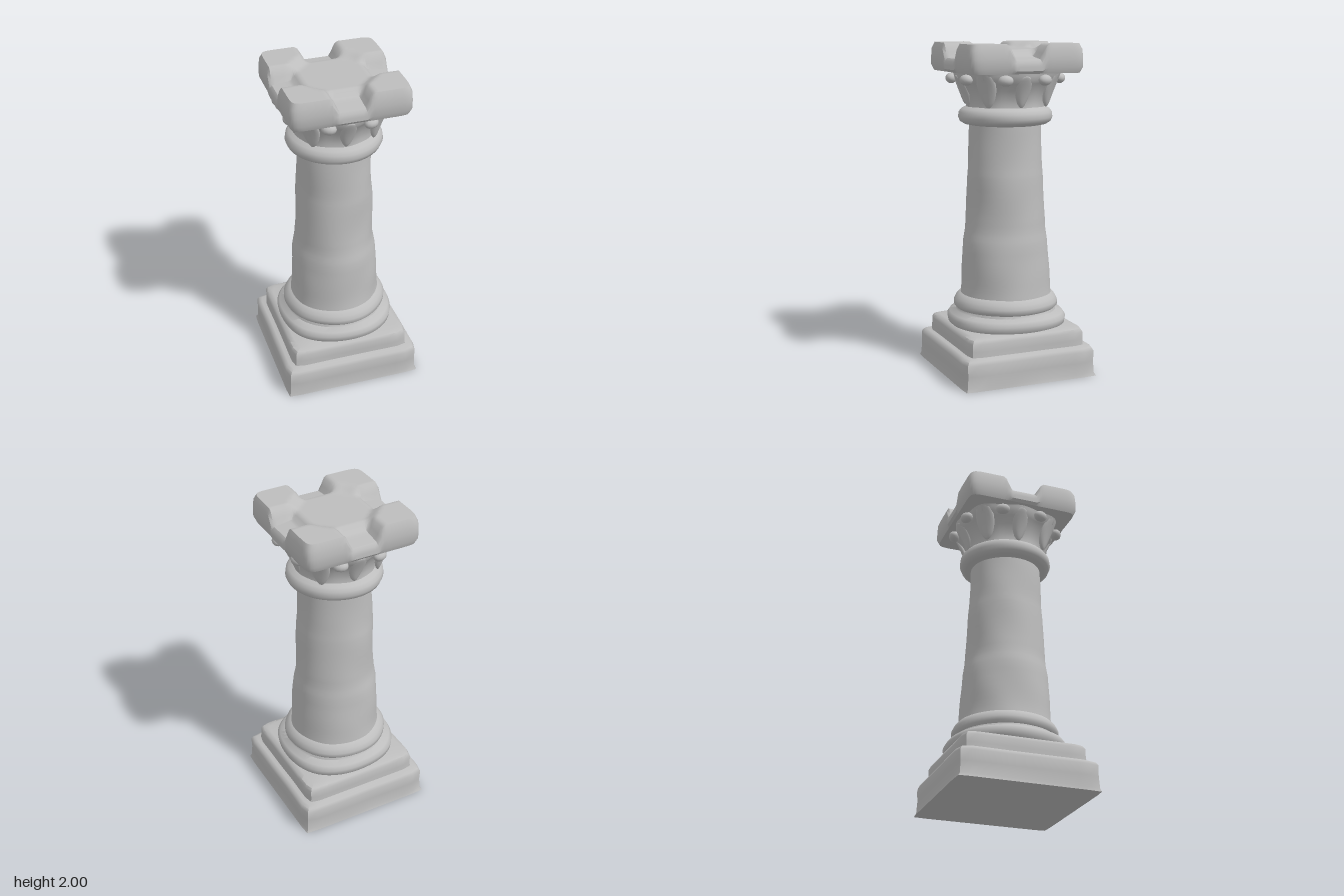
import * as THREE from 'three';
import { mergeVertices, toCreasedNormals } from 'three/addons/utils/BufferGeometryUtils.js';

const stone = new THREE.MeshStandardMaterial({ color: 0xbdbdbd });
stone.name = 'grey stone';

// Gentle weathering, continuous around the column
const wear = (x, y, z) =>
  Math.sin(9 * x + 5 * y + 1) * Math.sin(7 * y - 8 * z) * 0.6 +
  Math.sin(17 * z + 11 * y + 2) * Math.sin(15 * x - 6 * y) * 0.4;

// Factor that pulls a direction onto a superellipse: p = 2 is round, high p is square
const superRadius = (c, s, p) => Math.pow(Math.abs(c) ** p + Math.abs(s) ** p, -1 / p);

// Skin through rings given as [y, half width, squareness]
function loft(rings, { rough = 0, steps = 1, crease = 0.75, flute = null } = {}) {
  const segs = 64, pos = [], index = [], rows = [];
  rings.forEach((r, i) => {
    if (!i) return rows.push(r);
    for (let k = 1; k <= steps; k++) rows.push(r.map((v, n) => THREE.MathUtils.lerp(rings[i - 1][n], v, k / steps)));
  });
  rows.forEach(([y, half, p], j) => {
    for (let i = 0; i < segs; i++) {
      const a = (i / segs) * Math.PI * 2, c = Math.cos(a), s = Math.sin(a);
      let r = half * superRadius(c, s, p);
      r *= 1 + (y > 0 ? rough * wear(c * half, y, s * half) : 0) + (flute ? flute(a, y) : 0);
      pos.push(c * r, y, s * r);
      if (j < rows.length - 1) {
        const n = (i + 1) % segs, a0 = j * segs + i, a1 = j * segs + n;
        index.push(a0, a0 + segs, a1, a1, a0 + segs, a1 + segs);
      }
    }
  });
  const g = new THREE.BufferGeometry();
  g.setAttribute('position', new THREE.Float32BufferAttribute(pos, 3));
  g.setIndex(index);
  return toCreasedNormals(g, crease);
}

// Battlement slab: four raised corners, sloped notches and a raised middle
function crownGeometry() {
  const ramp = THREE.MathUtils.smoothstep, lin = (v, a, b) => THREE.MathUtils.clamp((v - a) / (b - a), 0, 1);
  const half = 0.36, levels = [0, 0.2, 0.5, 0.8, 1], inset = [0.96, 1, 1, 0.99, 0.95];
  let g = new THREE.BoxGeometry(2, 4, 2, 36, 4, 36);
  g.deleteAttribute('uv');
  g.deleteAttribute('normal');
  g = mergeVertices(g);
  const p = g.attributes.position;
  for (let i = 0; i < p.count; i++) {
    const u = p.getX(i), v = p.getZ(i), row = Math.round(p.getY(i) + 2);
    const m = Math.max(Math.abs(u), Math.abs(v));
    const k = m > 0 ? superRadius(u / m, v / m, 16) : 1;
    const x = u * half * k * inset[row], z = v * half * k * inset[row];
    const big = Math.max(Math.abs(x), Math.abs(z)), small = Math.min(Math.abs(x), Math.abs(z));
    const gap = 1.965 - 0.04 * lin(big, 0.2, 0.23) - 0.015 * lin(big, 0.23, 0.35);
    const merlon = lin(small, 0.08, 0.12) * ramp(Math.hypot(x, z), 0.19, 0.27);
    const top = THREE.MathUtils.lerp(gap, 2, merlon);
    p.setXYZ(i, x, 1.83 + levels[row] * (top - 1.83), z);
  }
  return toCreasedNormals(g, 0.7);
}

// Carved leaf, leaning outward and curling at its tip
function leafGeometry(width, height) {
  const g = new THREE.SphereGeometry(1, 14, 12), p = g.attributes.position;
  for (let i = 0; i < p.count; i++) {
    const t = (p.getY(i) + 1) / 2;
    p.setXYZ(i, p.getX(i) * width * (0.55 + 0.45 * t), t * height, p.getZ(i) * 0.026 + 0.085 * t * t);
  }
  g.computeVertexNormals();
  return g;
}

export function createModel() {
  const model = new THREE.Group();
  model.name = 'stone column';
  const add = (name, geometry, parent = model) => {
    const mesh = new THREE.Mesh(geometry, stone);
    mesh.name = name;
    parent.add(mesh);
    return mesh;
  };

  // Square foot
  add('plinth', loft([
    [0, 0.001, 60], [0, 0.425, 60], [0.02, 0.42, 30], [0.09, 0.42, 20], [0.155, 0.422, 20],
    [0.175, 0.412, 18], [0.185, 0.395, 18], [0.19, 0.3, 18],
  ], { rough: 0.008 }));
  add('upperStep', loft([
    [0.17, 0.372, 20], [0.22, 0.37, 18], [0.265, 0.37, 18], [0.285, 0.36, 16], [0.295, 0.335, 10], [0.3, 0.22, 4],
  ], { rough: 0.008 }));

  // Round mouldings at the foot of the shaft
  add('footMouldings', loft([
    [0.28, 0.33, 2.3], [0.3, 0.35, 2.3], [0.335, 0.355, 2.3], [0.36, 0.342, 2.2], [0.375, 0.308, 2],
    [0.39, 0.303, 2], [0.405, 0.318, 2], [0.43, 0.318, 2], [0.455, 0.305, 2], [0.475, 0.285, 2], [0.49, 0.25, 2],
  ], { rough: 0.018, crease: 0.9 }));

  // Tapering worn shaft
  add('shaft', loft([
    [0.44, 0.28, 2], [0.52, 0.272, 2], [0.65, 0.268, 2], [0.8, 0.258, 2], [0.88, 0.243, 2], [1.0, 0.236, 2],
    [1.2, 0.232, 2], [1.27, 0.226, 2], [1.42, 0.22, 2], [1.56, 0.216, 2],
  ], { rough: 0.03, steps: 3, crease: 1 }));

  // Rounded collar
  add('collar', loft([
    [1.51, 0.2, 2], [1.52, 0.25, 2], [1.535, 0.275, 2], [1.56, 0.286, 2], [1.59, 0.282, 2],
    [1.61, 0.266, 2], [1.625, 0.235, 2],
  ], { rough: 0.012, crease: 1.2 }));

  // Flared, ribbed capital
  add('capitalBell', loft([
    [1.6, 0.238, 2], [1.65, 0.237, 2], [1.7, 0.252, 2], [1.75, 0.278, 2.1], [1.79, 0.305, 2.3], [1.84, 0.315, 2.6],
  ], { steps: 2, crease: 1, flute: (a, y) => 0.035 * Math.cos(8 * a) * Math.min(1, (y - 1.6) / 0.15) }));
  const leaves = new THREE.Group();
  leaves.name = 'leaves';
  model.add(leaves);
  for (let i = 0; i < 8; i++) {
    const a = (i * Math.PI) / 4, corner = i % 2;
    const leaf = add('leaf', leafGeometry(corner ? 0.075 : 0.062, corner ? 0.22 : 0.19), leaves);
    const r = corner ? 0.26 : 0.235;
    leaf.position.set(Math.sin(a) * r, 1.625, Math.cos(a) * r);
    leaf.rotation.y = a;
  }
  // Leaf tips curling over below the slab
  for (let i = 0; i < 8; i++) {
    const a = ((i + 0.5) * Math.PI) / 4;
    const tip = add('leafTip', new THREE.SphereGeometry(1, 12, 8), leaves);
    tip.scale.set(0.045, 0.032, 0.035);
    tip.position.set(Math.sin(a) * 0.325, 1.79, Math.cos(a) * 0.325);
    tip.rotation.y = a;
  }

  add('battlementCrown', crownGeometry());
  return model;
}
